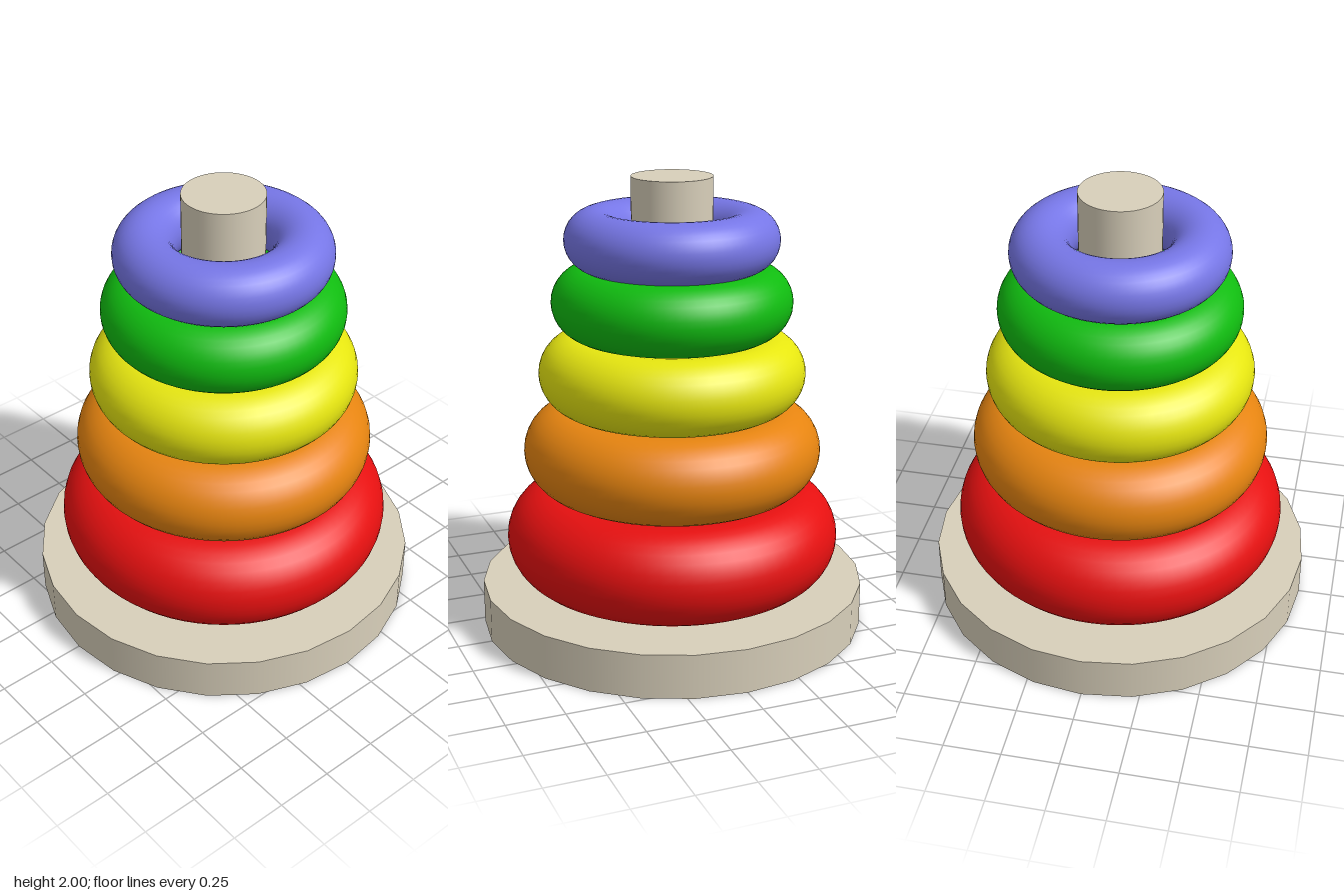
import * as THREE from 'three';

const flat = (name, color) => {
  const m = new THREE.MeshStandardMaterial({ color });
  m.name = name;
  return m;
};

export function createModel() {
  const toy = new THREE.Group();
  toy.name = 'stackingRings';
  const wood = flat('pale wood', 0xd8cfba);

  const add = (name, geometry, material, y) => {
    const mesh = new THREE.Mesh(geometry, material);
    mesh.name = name;
    mesh.position.y = y;
    toy.add(mesh);
  };

  // Round base and the post standing on it
  add('base', new THREE.CylinderGeometry(0.85, 0.85, 0.195, 24), wood, 0.0975);
  add('post', new THREE.CylinderGeometry(0.175, 0.175, 1.81, 48), wood, 1.095);

  // Rings from bottom to top: name, colour, ring radius, tube radius, centre height
  const rings = [
    ['red', 0xe61010, 0.525, 0.211, 0.405],
    ['orange', 0xe68410, 0.467, 0.186, 0.801],
    ['yellow', 0xe6e610, 0.418, 0.164, 1.148],
    ['green', 0x10bc10, 0.369, 0.153, 1.461],
    ['blue', 0x7676e6, 0.333, 0.13, 1.73],
  ];
  for (const [name, color, radius, tube, y] of rings) {
    const geometry = new THREE.TorusGeometry(radius, tube, 32, 72).rotateX(-Math.PI / 2);
    add(`${name}Ring`, geometry, flat(name, color), y);
  }
  return toy;
}
